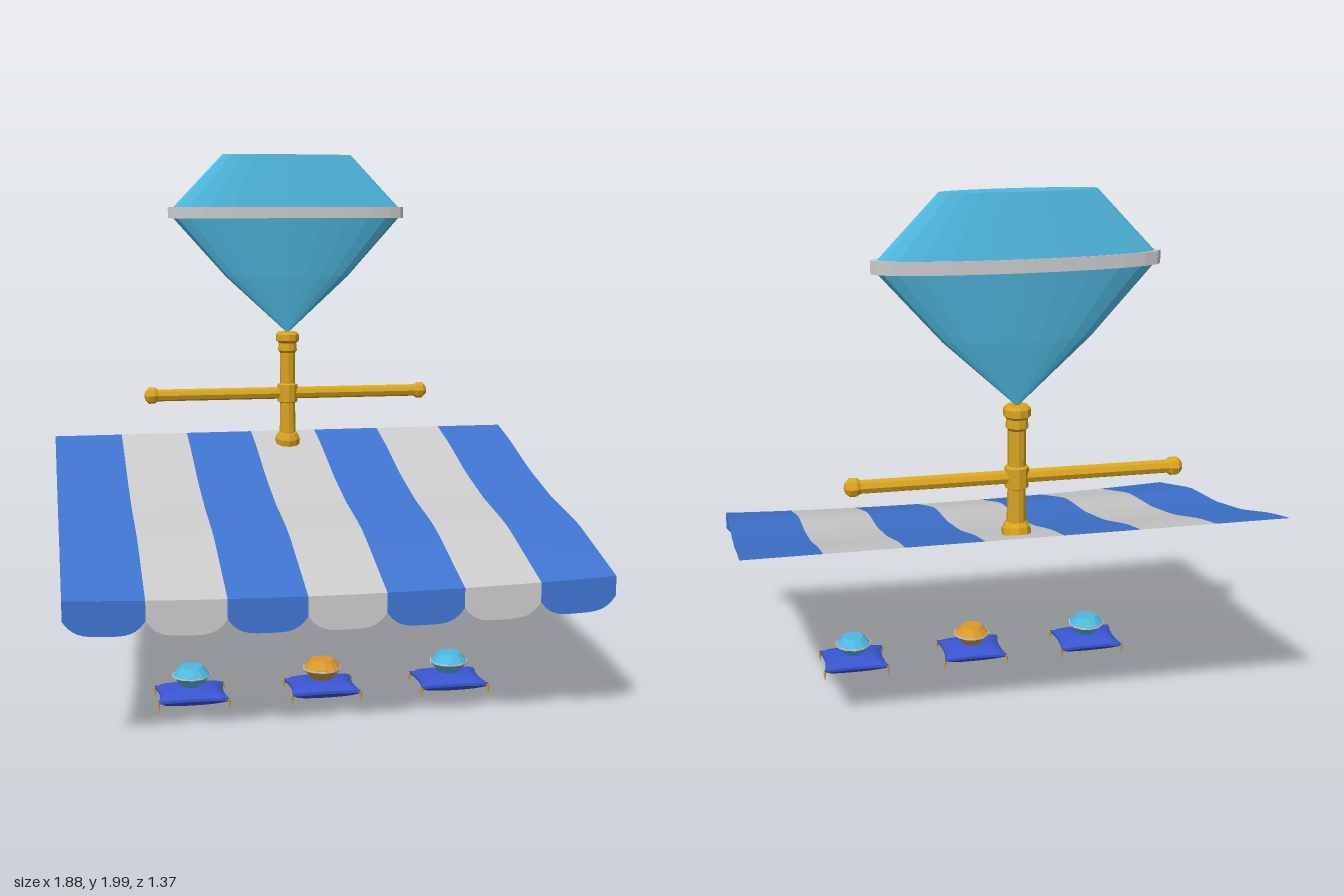
import * as THREE from 'three';

const material = (color, flat = true) =>
  new THREE.MeshStandardMaterial({ color, flatShading: flat, side: THREE.DoubleSide });
const BLUE = material(0x3f74d0, false), GREY = material(0xcccccc, false);
const GOLD = material(0xd9a520), SILVER = material(0xcccccc);
const CYAN = material(0x4fb8e0), AMBER = material(0xd9982a), VELVET = material(0x3a55d0, false);

function add(parent, name, geometry, mat, x = 0, y = 0, z = 0) {
  const mesh = new THREE.Mesh(geometry, mat);
  mesh.name = name;
  mesh.position.set(x, y, z);
  parent.add(mesh);
  return mesh;
}

const lathe = (points, sides) =>
  new THREE.LatheGeometry(points.map(([r, y]) => new THREE.Vector2(r, y)), sides);

// Move every vertex of a geometry by a rule
function warp(geometry, rule) {
  const p = geometry.attributes.position, v = new THREE.Vector3();
  for (let i = 0; i < p.count; i++) {
    rule(v.fromBufferAttribute(p, i));
    p.setXYZ(i, v.x, v.y, v.z);
  }
  geometry.computeVertexNormals();
  return geometry;
}

// Awning height: a sloping profile whose front edge sags in the middle
const HALF = 0.94, FRONT = 0.685, STRIPES = 7;
const slope = [[-0.685, 0.865], [-0.52, 0.825], [-0.25, 0.742], [0, 0.685], [0.3, 0.641], [0.685, 0.535]];
function awningHeight(x, z) {
  let i = 0;
  while (i < slope.length - 2 && z > slope[i + 1][0]) i++;
  const [z0, y0] = slope[i], [z1, y1] = slope[i + 1];
  const base = y0 + (y1 - y0) * (z - z0) / (z1 - z0);
  const sag = THREE.MathUtils.clamp((z - 0.2) / (FRONT - 0.2), 0, 1);
  return base - 0.022 * sag * (1 - (x / HALF) ** 2);
}

function buildAwning() {
  const awning = new THREE.Group();
  awning.name = 'awning';
  const w = 2 * HALF / STRIPES;
  for (let i = 0; i < STRIPES; i++) {
    const cx = -HALF + w * (i + 0.5), mat = i % 2 ? GREY : BLUE;
    const cloth = new THREE.PlaneGeometry(w, 2 * FRONT, 4, 20).rotateX(-Math.PI / 2).translate(cx, 0, 0);
    add(awning, 'awningStripe', warp(cloth, v => { v.y = awningHeight(v.x, v.z); }), mat);
    // Hanging scallop with rounded lower corners
    const flap = new THREE.PlaneGeometry(w, 1, 16, 2).translate(cx, -0.5, 0);
    add(awning, 'valanceScallop', warp(flap, v => {
      const u = Math.abs(v.x - cx) / (w / 2);
      v.y = awningHeight(v.x, FRONT) + v.y * (0.119 - 0.05 * u ** 4);
      v.z = FRONT;
    }), mat);
  }
  return awning;
}

// Signpost: turned post, crossbar and a large flattened gem
function buildSign() {
  const sign = new THREE.Group();
  sign.name = 'gemSign';
  sign.position.z = -0.555;
  add(sign, 'post', lathe([[0, 0.84], [0.034, 0.84], [0.031, 1], [0.041, 1.005], [0.041, 1.075],
    [0.031, 1.08], [0.031, 1.205], [0.039, 1.215], [0.036, 1.245], [0.047, 1.255], [0.047, 1.28],
    [0.038, 1.29], [0, 1.29]], 10), GOLD);
  const foot = add(sign, 'postFoot', lathe([[0, -0.012], [0.05, -0.012], [0.05, 0.012],
    [0.036, 0.035], [0, 0.035]], 10), GOLD, 0, 0.846, 0);
  foot.rotation.x = 0.25;
  add(sign, 'crossbar', new THREE.CylinderGeometry(0.024, 0.024, 1.12, 8).rotateZ(Math.PI / 2), GOLD, 0, 1.04, 0);
  for (const s of [-1, 1]) {
    const knob = lathe([[0, -0.028], [0.022, -0.028], [0.033, -0.012], [0.033, 0.01], [0.018, 0.025], [0, 0.03]], 8);
    add(sign, 'crossbarKnob', knob.rotateZ(-s * Math.PI / 2), GOLD, s * 0.555, 1.04, 0);
  }
  const gem = new THREE.Group();
  gem.name = 'largeGem';
  gem.scale.z = 0.18;
  add(gem, 'pavilion', lathe([[0, 1.285], [0.25, 1.515], [0.465, 1.755]], 24), CYAN);
  add(gem, 'crown', lathe([[0.465, 1.785], [0.26, 2], [0, 2]], 24), CYAN);
  add(gem, 'girdle', lathe([[0.455, 1.748], [0.48, 1.748], [0.48, 1.792], [0.455, 1.792]], 24), SILVER);
  sign.add(gem);
  return sign;
}

// Cushion with corner tassels carrying a small gem
function buildDisplay(x, gemMaterial) {
  const display = new THREE.Group();
  display.name = 'gemDisplay';
  display.position.set(x, 0, 0.215);
  const pillow = warp(new THREE.BoxGeometry(2, 2, 2, 12, 1, 12), v => {
    const a = 1 - v.x * v.x, b = 1 - v.z * v.z;
    const px = v.x * 0.127 * (1 - 0.1 * b), pz = v.z * 0.094 * (1 - 0.1 * a);
    v.set(px, 0.047 + Math.sign(v.y) * (0.005 + 0.028 * Math.max(0, a * b) ** 0.4), pz);
  });
  add(display, 'cushion', pillow, VELVET);
  for (const sx of [-1, 1]) for (const sz of [-1, 1])
    add(display, 'tassel', new THREE.ConeGeometry(0.007, 0.04, 6).rotateX(Math.PI), GOLD, sx * 0.126, 0.028, sz * 0.092);
  add(display, 'smallGem', lathe([[0, 0.055], [0.025, 0.062], [0.068, 0.114], [0.068, 0.121],
    [0.04, 0.15], [0, 0.15]], 12), gemMaterial);
  add(display, 'smallGirdle', lathe([[0.066, 0.114], [0.071, 0.114], [0.071, 0.12], [0.066, 0.12]], 12), SILVER);
  return display;
}

export function createModel() {
  const model = new THREE.Group();
  model.name = 'gemStall';
  model.add(buildAwning(), buildSign());
  [[-0.48, CYAN], [0, AMBER], [0.48, CYAN]].forEach(([x, mat]) => model.add(buildDisplay(x, mat)));
  return model;
}
